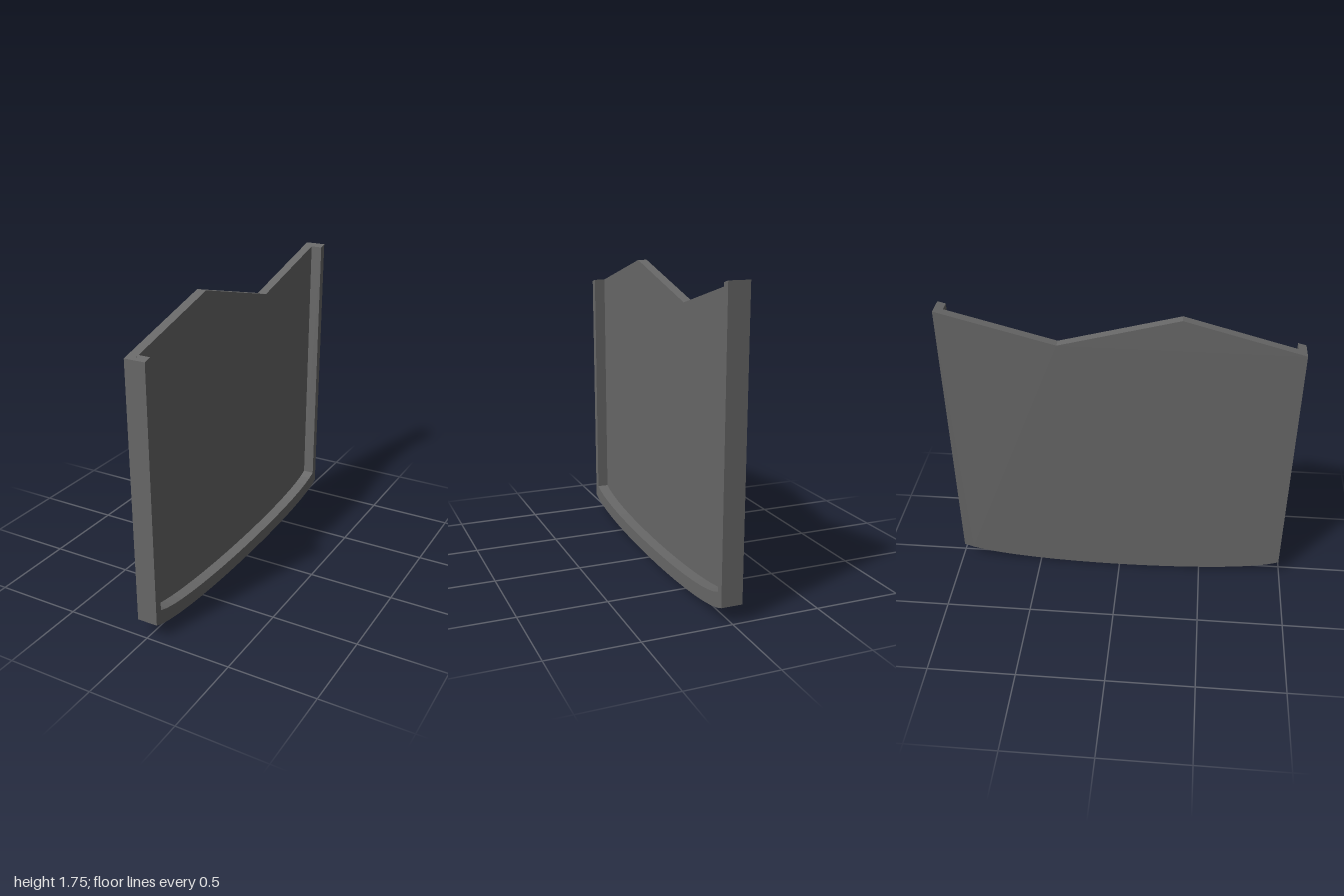
import * as THREE from 'three';

const material = new THREE.MeshStandardMaterial({ color: 0x686868, flatShading: true });

// Profiles are drawn with u = -z and v = y, then extruded along +x.
function slab(name, shape, x0, x1) {
  const geometry = new THREE.ExtrudeGeometry(shape, { depth: x1 - x0, bevelEnabled: false, curveSegments: 18 });
  geometry.rotateY(Math.PI / 2).translate(x0, 0, 0);
  const mesh = new THREE.Mesh(geometry, material);
  mesh.name = name;
  return mesh;
}

// Outer side edges and bowed bottom, from the front top corner to the back one
function traceOuter(shape) {
  shape.moveTo(-1, 1.57);
  shape.lineTo(-0.99, 0.094);
  shape.bezierCurveTo(-0.72, -0.031, 0.72, -0.031, 0.985, 0.094);
  shape.lineTo(1, 1.745);
}

export function createModel() {
  const group = new THREE.Group();
  group.name = 'panel';

  // Thin plate with a zigzag top edge
  const plate = new THREE.Shape();
  traceOuter(plate);
  plate.lineTo(0.34, 1.57);
  plate.lineTo(-0.333, 1.75);
  plate.closePath();
  group.add(slab('plate', plate, -0.06, -0.006));

  // Raised U-shaped rim along the sides and bottom
  const rim = new THREE.Shape();
  traceOuter(rim);
  rim.lineTo(0.955, 1.733);
  rim.lineTo(0.944, 0.166);
  rim.bezierCurveTo(0.7, 0.048, -0.7, 0.048, -0.947, 0.166);
  rim.lineTo(-0.954, 1.582);
  rim.closePath();
  group.add(slab('rim', rim, -0.006, 0.06));

  return group;
}
